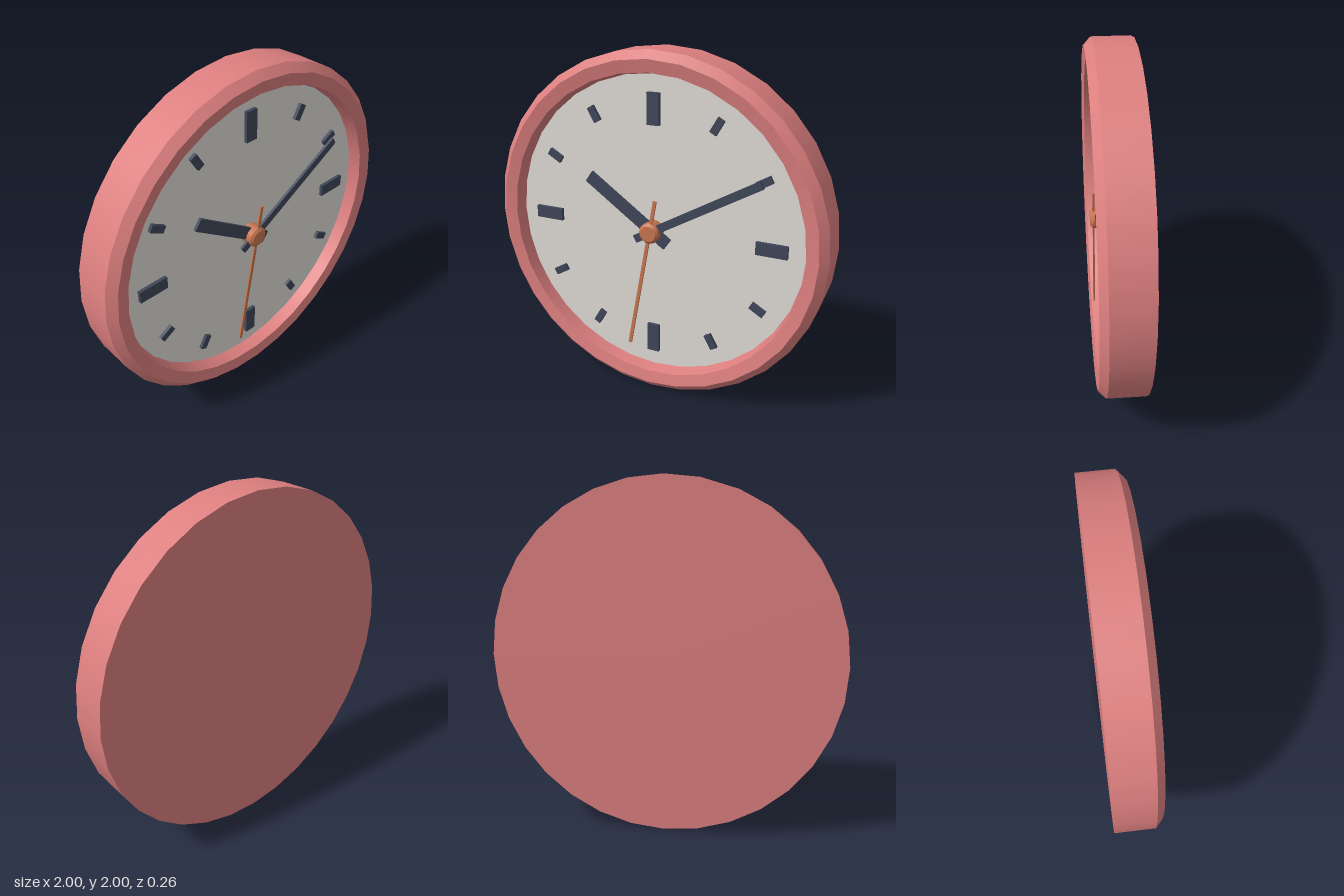
import * as THREE from 'three';
import { mergeGeometries } from 'three/addons/utils/BufferGeometryUtils.js';

const mat = (name, color) => {
  const m = new THREE.MeshStandardMaterial({ color });
  m.name = name;
  return m;
};

// Turned part around z: smooth around the axis, sharp across each profile corner
function turned(profile, segments) {
  const bands = [];
  for (let i = 0; i < profile.length - 1; i++) {
    const pair = [profile[i], profile[i + 1]].map(([r, z]) => new THREE.Vector2(r, z));
    bands.push(new THREE.LatheGeometry(pair, segments));
  }
  return mergeGeometries(bands).rotateX(Math.PI / 2);
}

export function createModel() {
  const clock = new THREE.Group();
  clock.name = 'wallClock';
  clock.position.y = 1;

  const pink = mat('casePink', 0xdd7f7f);
  const cream = mat('dialCream', 0xe0ddd8);
  const navy = mat('darkNavy', 0x3f4759);
  const copper = mat('copper', 0xc87650);

  const add = (name, geometry, material) => {
    const mesh = new THREE.Mesh(geometry, material);
    mesh.name = name;
    clock.add(mesh);
    return mesh;
  };

  // Case: flat back, drum, bevelled rim and inner wall
  add('case', turned([
    [0, -0.13], [1, -0.13], [1, 0.088], [0.955, 0.13],
    [0.885, 0.116], [0.872, 0.04],
  ], 32), pink);

  // Dial
  add('dial', new THREE.CircleGeometry(0.873, 32).rotateZ(Math.PI / 2).translate(0, 0, 0.04), cream);

  // Bar running from radius r0 to r1, turned clockwise from twelve
  const bar = (name, degrees, r0, r1, width, z0, z1, material) => {
    const g = new THREE.BoxGeometry(width, r1 - r0, z1 - z0);
    g.translate(0, (r0 + r1) / 2, (z0 + z1) / 2);
    add(name, g, material).rotation.z = -THREE.MathUtils.degToRad(degrees);
  };

  // Hour marks, larger at the quarters
  for (let h = 0; h < 12; h++) {
    if (h % 3 === 0) bar('quarterMark', h * 30, 0.6, 0.775, 0.072, 0.035, 0.06, navy);
    else bar('hourMark', h * 30, 0.68, 0.77, 0.042, 0.035, 0.06, navy);
  }

  // Hands
  bar('hourHand', 304.8, -0.115, 0.48, 0.072, 0.062, 0.08, navy);
  bar('minuteHand', 60, -0.11, 0.725, 0.046, 0.082, 0.098, navy);
  bar('secondHand', 190.2, -0.195, 0.735, 0.02, 0.1, 0.11, copper);

  // Centre cap
  add('centreCap', turned([[0.06, 0.04], [0.06, 0.112], [0.045, 0.125], [0, 0.125]], 16), copper);

  const model = new THREE.Group();
  model.name = 'model';
  model.add(clock);
  return model;
}
